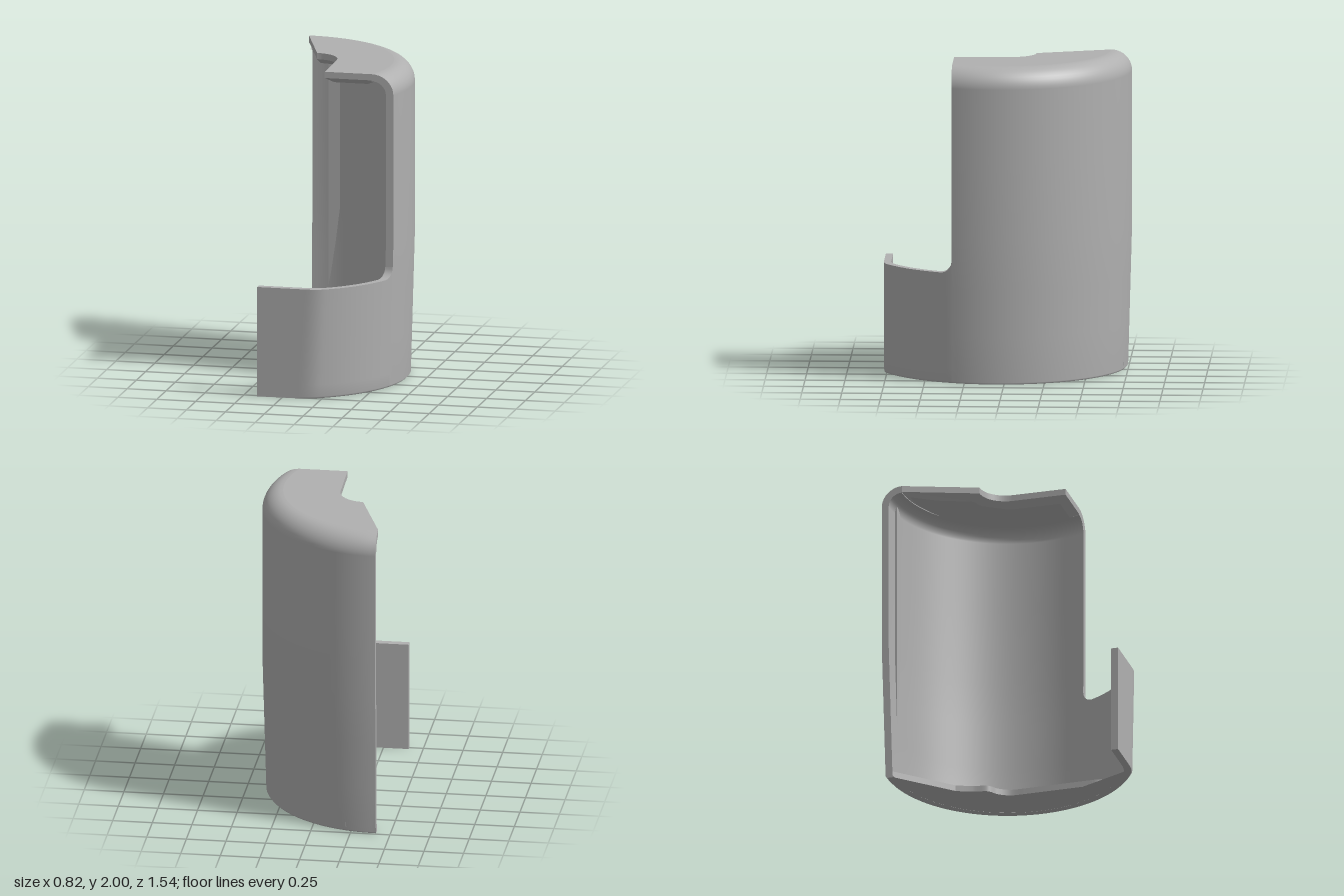
import * as THREE from 'three';
import { mergeGeometries } from 'three/addons/utils/BufferGeometryUtils.js';

const CX = -0.41, CZ = 0.05;   // axis of the round wall
const CUT = 0.33;              // z of the tall opening
const WALL = 0.045;
const { sin, cos, acos, asin, sqrt, min, max, abs, PI } = Math;
const mix = (a, b, s) => a.map((v, i) => v + (b[i] - v) * s);

// smooth surface through f(u, v); its normal is dv x du
function grid(f, nu, nv) {
  const pos = [], idx = [];
  for (let i = 0; i <= nu; i++) for (let j = 0; j <= nv; j++) pos.push(...f(i / nu, j / nv));
  for (let i = 0; i < nu; i++) for (let j = 0; j < nv; j++) {
    const a = i * (nv + 1) + j, c = a + nv + 1;
    idx.push(a, a + 1, c, c, a + 1, c + 1);
  }
  const g = new THREE.BufferGeometry();
  g.setAttribute('position', new THREE.Float32BufferAttribute(pos, 3));
  g.setIndex(idx);
  g.computeVertexNormals();
  return g;
}

// closed shell between an outer and an inner surface
function shell(outer, inner, nu, nv) {
  return mergeGeometries([
    grid(outer, nu, nv),
    grid((u, v) => inner(1 - u, v), nu, nv),
    grid((s, v) => mix(inner(0, v), outer(0, v), s), 1, nv),
    grid((s, v) => mix(outer(1, v), inner(1, v), s), 1, nv),
    grid((u, s) => mix(inner(u, 0), outer(u, 0), s), nu, 1),
    grid((u, s) => mix(outer(u, 1), inner(u, 1), s), nu, 1),
  ]);
}

// outer radius, drawn in slightly toward the foot
const radius = y => 0.82 - 0.025 * max(0, 1 - y / 0.9) - 0.01 * max(0, 1 - y / 0.012);
const cutAngle = r => acos(-(CUT - CZ) / r);

// plan point on the round wall, flattened at the front
function plan(r, t, zMax) {
  const z = CZ - r * cos(t), k = 0.03;
  const h = max(k - abs(z - zMax), 0) / k;
  return [CX + r * sin(t), min(z, zMax) - h * h * k / 4];
}

// tall back wall with rounded shoulder
function backWall() {
  const rows = (inset) => {
    const p = [0, 0.012, 0.3, 0.6, 0.9, 1.4, 1.87].map(y => [radius(y) - inset, y]);
    for (let i = 1; i <= 10; i++) {
      const a = i / 10 * PI / 2, r = 0.13 - inset;
      p.push([0.69 + r * cos(a), 1.87 + r * sin(a)]);
    }
    return p;
  };
  const surface = (inset) => {
    const p = rows(inset);
    return (u, v) => {
      const [r, y] = p[Math.round(v * (p.length - 1))];
      const t = u * cutAngle(r);
      return [CX + r * sin(t), y, CZ - r * cos(t)];
    };
  };
  return shell(surface(0), surface(WALL), 48, rows(0).length - 1);
}

// low front wall, with a fillet where it meets the opening
function frontWall() {
  const surface = (inset) => (u, v) => {
    const at = y => {
      const r = radius(y) - inset, t0 = cutAngle(r);
      return plan(r, t0 + (PI - t0) * u ** 1.6, 0.77 - inset);
    };
    const d = min(0.07, max(0, 0.4 - at(0.7)[1]));
    const top = 0.77 - sqrt(max(0, 0.07 * 0.07 - d * d));
    const y = v < 0.1 ? v * 0.12 : 0.012 + (v - 0.1) / 0.9 * (top - 0.012);
    const [x, z] = at(y);
    return [x, y, z];
  };
  return shell(surface(0), surface(WALL), 60, 10);
}

// extrude a plan shape (x, z) downward from height y
function slab(shape, y, options) {
  const g = new THREE.ExtrudeGeometry(shape, { curveSegments: 32, bevelEnabled: false, ...options });
  g.rotateX(PI / 2);
  g.computeBoundingBox();
  return g.translate(0, y - g.boundingBox.max.y, 0);
}

// quarter plate with a rounded inner notch
function topShape() {
  const s = new THREE.Shape();
  s.moveTo(CX, -0.18);
  s.absarc(CX, CZ, 0.69, -PI / 2, asin((CUT - CZ) / 0.69), false);
  s.lineTo(-0.08, CUT);
  s.lineTo(-0.085, -0.02);
  s.bezierCurveTo(-0.09, -0.11, -0.16, -0.18, -0.25, -0.18);
  return s;
}

// base plate with a wavy inner edge
function floorShape() {
  const s = new THREE.Shape();
  const wave = points => s.splineThru(points.map(p => new THREE.Vector2(...p)));
  s.moveTo(CX, -0.38);
  s.absarc(CX, CZ, 0.75, -PI / 2, 1.12, false);
  s.lineTo(-0.05, 0.73);
  wave([[0.03, 0.69], [0.095, 0.62], [0.1, 0.57], [0.07, 0.5], [0.065, 0.46]]);
  s.lineTo(0.065, 0.02);
  wave([[0.06, -0.07], [0.02, -0.14], [-0.04, -0.19], [-0.06, -0.28], [-0.1, -0.38]]);
  return s;
}

export function createModel() {
  const group = new THREE.Group();
  const grey = new THREE.MeshStandardMaterial({ color: 0xb0b0b0 });
  grey.name = 'plain grey';
  const add = (name, geometry) => {
    const m = new THREE.Mesh(geometry, grey);
    m.name = name;
    group.add(m);
    return m;
  };

  add('backWall', backWall());
  add('frontWall', frontWall());
  add('topPlate', slab(topShape(), 2, { depth: 0.04 }));
  // thicker underside, chamfered toward the plate edge
  add('topUnderside', slab(topShape(), 1.996, {
    depth: 0.001, bevelEnabled: true, bevelSegments: 1,
    bevelSize: 0.05, bevelThickness: 0.035, bevelOffset: -0.05,
  }));
  add('floor', slab(floorShape(), 0.04, { depth: 0.039 }));
  // shallow upright strip inside the back wall
  add('innerStrip', new THREE.BoxGeometry(0.085, 1.9, 0.02)).position.set(-0.258, 0.98, -0.713);
  return group;
}
